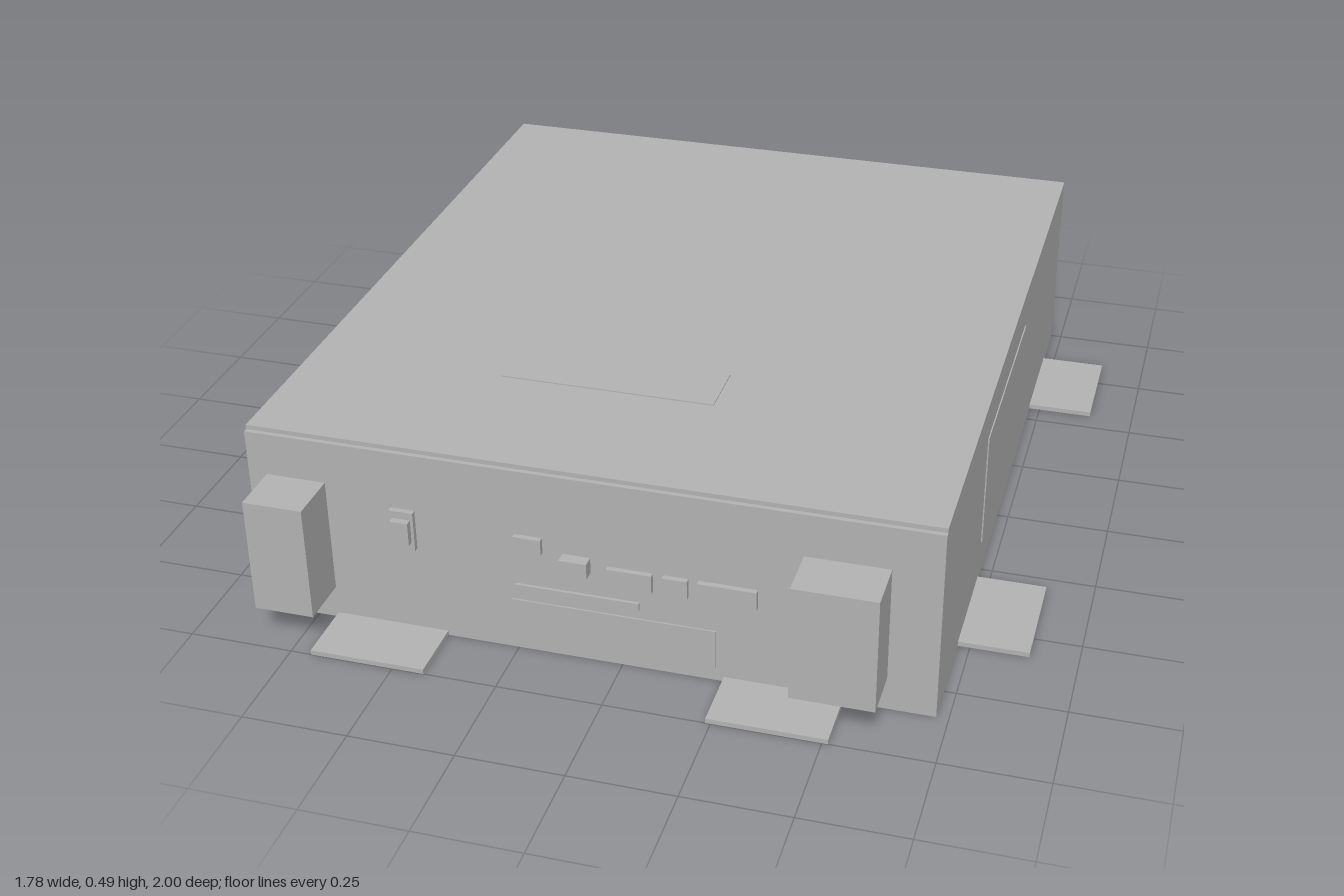
import * as THREE from 'three';

export function createModel() {
  const model = new THREE.Group();
  const grey = new THREE.MeshStandardMaterial({ color: 0xb2b2b2 });
  grey.name = 'light grey';

  // box given by its extents on each axis
  function block(name, [x0, x1], [y0, y1], [z0, z1]) {
    const mesh = new THREE.Mesh(new THREE.BoxGeometry(x1 - x0, y1 - y0, z1 - z0), grey);
    mesh.position.set((x0 + x1) / 2, (y0 + y1) / 2, (z0 + z1) / 2);
    mesh.name = name;
    model.add(mesh);
  }

  const face = 0.845; // front of the panel
  const inside = 0.838; // parts are sunk slightly into the panel

  // housing and slightly lower front panel
  block('housing', [-0.888, 0.722], [0, 0.487], [-1, 0.834]);
  block('frontPanel', [-0.888, 0.722], [0, 0.476], [0.83, face]);

  // thin plates on the top and the side
  block('topLabel', [-0.41, 0.11], [0.48, 0.49], [0.32, 0.47]);
  block('sideLabel', [0.715, 0.725], [0.1, 0.39], [-0.3, 0.285]);

  // flat mounting tabs
  for (const x of [[-0.7, -0.424], [0.238, 0.514]]) block('frontTab', x, [0, 0.012], [inside, 1]);
  for (const z of [[-0.835, -0.56], [0.3, 0.573]]) block('sideTab', [0.715, 0.888], [0, 0.012], z);

  // large handles
  block('rightHandle', [-0.843, -0.7], [0.084, 0.37], [inside, 0.971]);
  block('leftHandle', [0.416, 0.609], [0.084, 0.37], [inside, 0.971]);

  // power switch
  block('switchFrame', [-0.543, -0.485], [0.231, 0.331], [inside, 0.858]);
  block('switchRocker', [-0.535, -0.492], [0.253, 0.312], [inside, 0.874]);

  // indicators, ports and slots
  block('indicator', [-0.248, -0.182], [0.272, 0.311], [inside, 0.858]);
  block('button', [-0.135, -0.07], [0.239, 0.278], [inside, 0.874]);
  for (const x of [[-0.03, 0.075], [0.1, 0.157], [0.18, 0.315]]) block('port', x, [0.215, 0.263], [inside, 0.858]);
  block('slot', [-0.248, 0.043], [0.159, 0.179], [inside, 0.852]);
  block('frontLabel', [-0.26, 0.22], [0.035, 0.135], [inside, 0.849]);

  return model;
}
